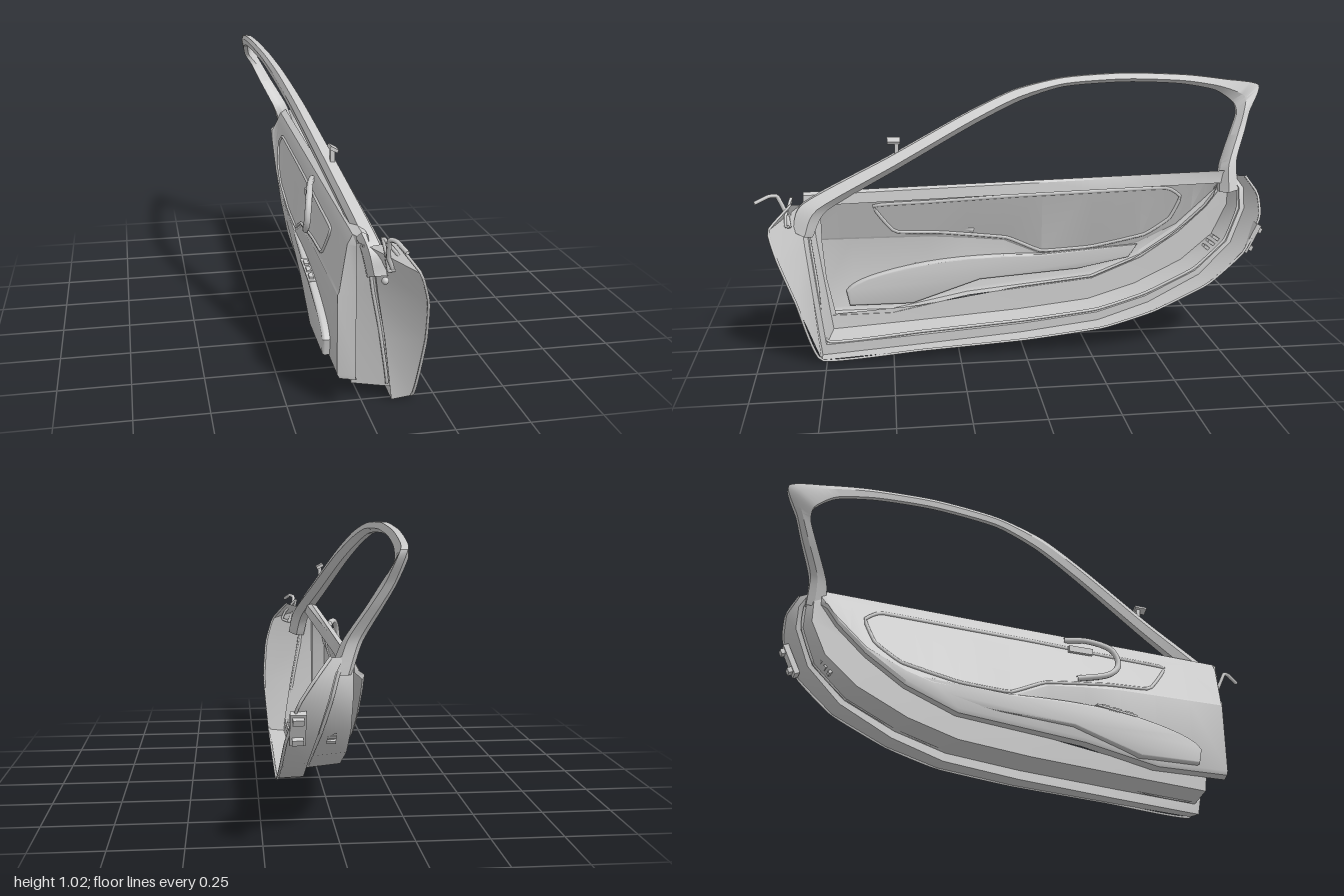
import * as THREE from 'three';
import { toCreasedNormals } from 'three/addons/utils/BufferGeometryUtils.js';

const material = new THREE.MeshStandardMaterial({ color: 0xcccccc, side: THREE.DoubleSide });
const V = (x, y, z) => new THREE.Vector3(x, y, z);

// Skin a surface over rows of equally many points
function loft(rows, closed = false) {
  const n = rows[0].length, index = [];
  for (let i = 0; i < rows.length - 1; i++) {
    for (let j = 0; j < (closed ? n : n - 1); j++) {
      const k = (j + 1) % n, a = i * n + j, b = i * n + k, c = a + n, d = b + n;
      index.push(a, b, c, b, d, c);
    }
  }
  const geo = new THREE.BufferGeometry().setFromPoints(rows.flat());
  geo.setIndex(index);
  return toCreasedNormals(geo, 0.5);
}

// Linear lookup in [key, value] pairs sorted by falling key
function lookup(table, key) {
  for (let i = 1; i < table.length; i++) {
    const [k0, v0] = table[i - 1], [k1, v1] = table[i];
    if (key >= k1) return v0 + (v1 - v0) * (k0 - key) / (k0 - k1);
  }
  return table[table.length - 1][1];
}

// Heights along the trim: lower edge, crease and belt line
const sillY = [[0.82, 0.11], [0.5, 0.11], [0.2, 0.17], [-0.3, 0.22], [-0.5, 0.3], [-0.65, 0.4], [-0.76, 0.5], [-0.82, 0.58]];
const creaseY = [[0.82, 0.41], [0.3, 0.41], [0.05, 0.385], [-0.1, 0.32], [-0.4, 0.33], [-0.5, 0.36], [-0.65, 0.43], [-0.76, 0.53], [-0.82, 0.59]];
const beltY = z => 0.61 + (0.8 - z) * 0.025;
const taper = z => (0.8 - z) * 0.014;

// Cabin-side face of the trim at a given height
function trimX(y, z) {
  const top = beltY(z) - 0.04;
  const t = (top - y) / Math.max(0.05, top - lookup(creaseY, z));
  return -0.062 - 0.025 * THREE.MathUtils.clamp(t, 0, 1) + taper(z);
}

export function createModel() {
  const door = new THREE.Group();
  door.name = 'carDoor';
  function add(name, geo, pos, rot) {
    const mesh = new THREE.Mesh(geo, material);
    mesh.name = name;
    if (pos) mesh.position.set(...pos);
    if (rot) mesh.rotation.set(...rot);
    door.add(mesh);
  }
  const box = (name, size, pos, rot) => add(name, new THREE.BoxGeometry(...size), pos, rot);
  function tube(name, pts, r, closed = false, tension = 0.3, sides = 6) {
    const curve = new THREE.CatmullRomCurve3(pts, closed, 'catmullrom', tension);
    add(name, new THREE.TubeGeometry(curve, pts.length * 8, r, sides, closed));
  }

  // Pressed steel pan: outer hem, then stepped loops in to the trim edge (x, y, z)
  const hem = [
    [0.08, 0.59, 0.86], [0.14, 0.51, 0.94], [0.175, 0.4, 0.91], [0.188, 0.24, 0.85], [0.17, 0.008, 0.77],
    [0.175, 0.03, 0.4], [0.18, 0.055, 0], [0.185, 0.09, -0.3], [0.19, 0.15, -0.5], [0.19, 0.25, -0.71],
    [0.18, 0.37, -0.85], [0.145, 0.5, -0.92], [0.095, 0.58, -0.925], [0.045, 0.64, -0.89]].map(p => V(...p));
  const flange = [
    [0, 0.57, 0.83], [0.02, 0.5, 0.83], [0.035, 0.4, 0.82], [0.065, 0.24, 0.8], [0.1, 0, 0.77],
    [0.1, 0.025, 0.4], [0.1, 0.055, 0], [0.1, 0.09, -0.3], [0.1, 0.155, -0.5], [0.1, 0.26, -0.7],
    [0.08, 0.38, -0.83], [0.05, 0.51, -0.89], [0.03, 0.59, -0.89], [0, 0.635, -0.86]].map(p => V(...p));
  const inset = (sz, sy, x) => flange.map(p =>
    V(x ?? p.x, p.y + Math.max(0, 0.45 - p.y) * sy, p.z * sz));
  const ledge = inset(0.95, 0.12, -0.03);
  const edgeZ = [0.76, 0.76, 0.76, 0.75, 0.72, 0.4, 0, -0.3, -0.46, -0.6, -0.69, -0.76, -0.79, -0.815];
  const trimEdge = edgeZ.map((z, i) => V(-0.034, i < 4 ? ledge[i].y : lookup(sillY, z) + 0.004, z));
  add('doorPan', loft([hem, flange, inset(0.98, 0.09), ledge, trimEdge]));
  tube('hemBead', hem, 0.005, false, 0.2);
  tube('doorSeal', inset(0.975, 0.11).map(p => V(p.x - 0.012, p.y, p.z)), 0.006, false, 0.2);

  // Cabin trim: belt cap, upper panel, lower pocket and closed ends
  const stations = [0.82, 0.8, 0.65, 0.5, 0.35, 0.2, 0.05, -0.1, -0.3, -0.4, -0.5, -0.58, -0.65, -0.71, -0.76, -0.8, -0.82];
  const trimRows = stations.map((z, i) => {
    const top = beltY(z), low = lookup(sillY, z), s = taper(z), step = lookup(creaseY, z);
    const end = i === 0 || i === stations.length - 1;
    const section = [
      [0.005, top - 0.045], [0, top - 0.005], [-0.02 + s, top + 0.004], [-0.045 + s, top - 0.008],
      [trimX(top - 0.04, z), top - 0.04], [trimX(step, z), step], [trimX(step, z) - 0.005, step - 0.008],
      [-0.092 + s, low + 0.015], [-0.085 + s, low], [-0.03, low]];
    return section.map(([x, y]) => V(end ? Math.max(x, -0.035) : x, y, z));
  });
  add('innerTrim', loft(trimRows));

  // Seam around the trim insert
  const seam = [[0.56, 0.54], [0.35, 0.55], [0, 0.565], [-0.3, 0.573], [-0.6, 0.58], [-0.66, 0.54], [-0.62, 0.45], [-0.52, 0.385],
    [-0.3, 0.34], [-0.1, 0.33], [0.04, 0.39], [0.3, 0.42], [0.48, 0.43]];
  tube('insertSeam', seam.map(([z, y]) => V(trimX(y, z), y, z)), 0.007, true, 0.15);

  // Window frame: front pillar, roof rail and rear pillar
  // [outer z, outer y, inner z, inner y, x, width]
  const frame = [
    [0.86, 0.48, 0.79, 0.45, 0.035, 0.075], [0.82, 0.58, 0.73, 0.55, 0.015, 0.075], [0.5, 0.735, 0.46, 0.69, -0.04, 0.065],
    [0.2, 0.885, 0.17, 0.84, -0.1, 0.055], [0, 0.97, -0.02, 0.925, -0.14, 0.045], [-0.2, 1.012, -0.2, 0.975, -0.165, 0.042],
    [-0.45, 1.024, -0.45, 0.988, -0.177, 0.04], [-0.7, 1.013, -0.67, 0.978, -0.175, 0.04], [-0.86, 0.993, -0.82, 0.95, -0.17, 0.04],
    [-0.995, 0.97, -0.895, 0.9, -0.155, 0.04], [-0.95, 0.87, -0.9, 0.855, -0.122, 0.05], [-0.92, 0.8, -0.865, 0.78, -0.085, 0.055],
    [-0.87, 0.69, -0.81, 0.665, -0.025, 0.065], [-0.87, 0.58, -0.8, 0.57, 0.01, 0.07]];
  // Rail at t from outer to inner edge and s across the width
  const rail = (t, s) => new THREE.CatmullRomCurve3(frame.map(([oz, oy, iz, iy, x, w]) =>
    V(x + s * w, oy + (iy - oy) * t, oz + (iz - oz) * t)), false, 'catmullrom', 0.35);
  const corners = [rail(0, 0.25), rail(0, -0.3), rail(0.4, -0.5), rail(1, -0.4), rail(1, 0.05), rail(0.6, 0.5)];
  const frameRows = [];
  for (let i = 0; i <= 78; i++) frameRows.push(corners.map(c => c.getPoint(i / 78)));
  add('windowFrame', loft(frameRows, true));

  // Armrest, thinning toward the rear
  const arm = new THREE.Shape();
  arm.moveTo(0.66, 0.14);
  arm.lineTo(0.67, 0.19);
  arm.quadraticCurveTo(0.64, 0.24, 0.4, 0.285);
  arm.quadraticCurveTo(0.2, 0.32, -0.1, 0.31);
  arm.lineTo(-0.48, 0.34);
  arm.lineTo(-0.45, 0.3);
  arm.lineTo(-0.25, 0.26);
  arm.lineTo(0.15, 0.23);
  arm.lineTo(0.42, 0.14);
  const armGeo = new THREE.ExtrudeGeometry(arm, { depth: 0.03, bevelSize: 0.008, bevelThickness: 0.01, bevelSegments: 3, curveSegments: 10 });
  armGeo.rotateY(-Math.PI / 2);
  const pos = armGeo.attributes.position;
  for (let i = 0; i < pos.count; i++) {
    const z = pos.getZ(i), k = THREE.MathUtils.clamp((z + 0.5) / 0.8, 0.25, 1);
    pos.setX(i, -0.078 + taper(z) + pos.getX(i) * k);
  }
  add('armrest', toCreasedNormals(armGeo, 0.6));

  // Window switches on the armrest
  box('switchPanel', [0.028, 0.008, 0.17], [-0.1, 0.303, 0.32], [0.14, 0, 0]);
  for (let i = 0; i < 3; i++) box('windowSwitch', [0.016, 0.01, 0.032], [-0.1, 0.302 + i * 0.007, 0.375 - i * 0.05], [0.14, 0, 0]);

  // Pull handle loop and release lever
  tube('pullHandle', [V(-0.05, 0.595, 0.13), V(-0.075, 0.595, 0.22), V(-0.095, 0.565, 0.31), V(-0.105, 0.5, 0.335),
    V(-0.103, 0.45, 0.29), V(-0.08, 0.425, 0.17)], 0.012, false, 0.5, 8);
  box('releaseLever', [0.014, 0.025, 0.1], [-0.073, 0.55, 0.19]);

  // Mirror mount at the foot of the front pillar
  tube('mirrorBracket', [V(0.07, 0.5, 0.87), V(0.05, 0.55, 0.88), V(0.045, 0.615, 0.91), V(0.06, 0.62, 0.94), V(0.08, 0.6, 0.99)], 0.008, false, 0.2);
  tube('mirrorBase', [V(0.055, 0.5, 0.87), V(0.1, 0.515, 0.88), V(0.085, 0.55, 0.88), V(0.035, 0.61, 0.86), V(0.045, 0.56, 0.87)], 0.006, true, 0.1);

  // Small fixings on the frame and front wall
  box('pillarClip', [0.03, 0.012, 0.05], [-0.042, 0.798, 0.475], [0, 0, -0.5]);
  box('pillarClipFoot', [0.015, 0.07, 0.015], [-0.042, 0.763, 0.465]);
  add('checkBolt', new THREE.SphereGeometry(0.012, 12, 8), [0.043, 0.47, 0.875]);

  // Latch plate and levers on the rear edge
  box('latchPlate', [0.05, 0.12, 0.02], [0.145, 0.42, -0.885], [-0.45, 0, 0]);
  for (const s of [-1, 1]) box('latchTab', [0.035, 0.02, 0.02], [0.145, 0.415 + s * 0.035, -0.9 - s * 0.016], [-0.45, 0, 0]);
  for (let i = 0; i < 3; i++) box('latchLever', [0.03, 0.012, 0.03], [0.03, 0.35 + i * 0.02, -0.75 - i * 0.016], [-0.6, 0, 0]);

  return door;
}
